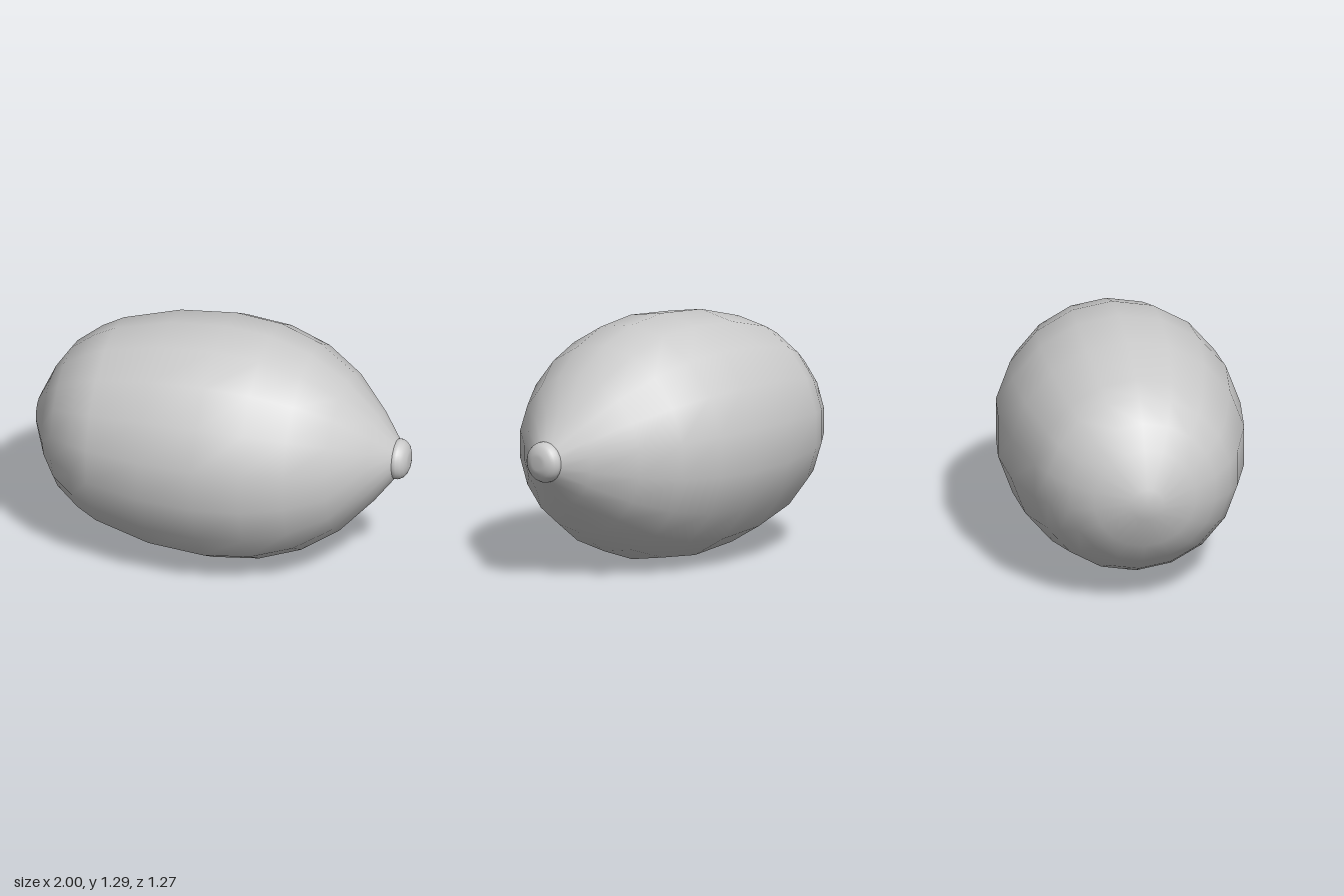
import * as THREE from 'three';

// Surface of revolution about the x axis from [x, radius] pairs
function turned(name, profile, segments) {
  const points = profile.map(([x, r]) => new THREE.Vector2(r, x));
  const geometry = new THREE.LatheGeometry(points, segments, Math.PI / 2);
  geometry.rotateZ(-Math.PI / 2);
  const mesh = new THREE.Mesh(geometry, new THREE.MeshStandardMaterial({ color: 0xcccccc }));
  mesh.name = name;
  mesh.position.y = 0.65;
  return mesh;
}

export function createModel() {
  const group = new THREE.Group();
  group.name = 'lemon';

  // Plump fruit body, blunt at the stem end and tapering to the tip
  group.add(turned('fruitBody', [
    [-1, 0], [-1, 0.085], [-0.915, 0.27], [-0.835, 0.388], [-0.71, 0.484],
    [-0.6, 0.541], [-0.3, 0.622], [0, 0.647], [0.245, 0.622], [0.465, 0.546],
    [0.66, 0.417], [0.83, 0.235], [0.925, 0.11], [0.94, 0.09],
  ], 18));

  // Small rounded nub at the tip
  group.add(turned('tipNub', [
    [0.915, 0.095], [0.93, 0.107], [0.95, 0.106], [0.97, 0.096],
    [0.985, 0.08], [0.996, 0.055], [1, 0.035], [1, 0],
  ], 36));

  return group;
}
